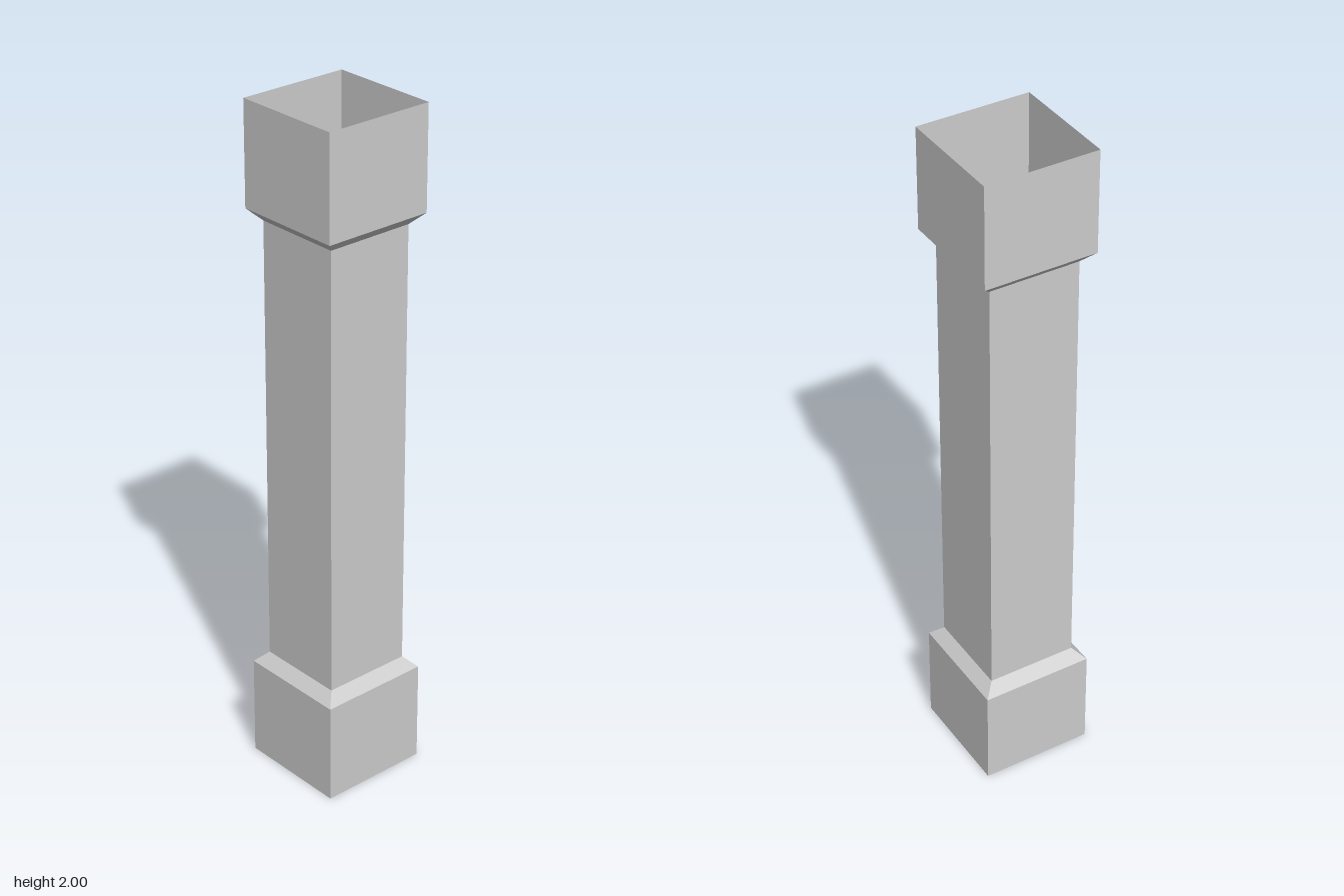
import * as THREE from 'three';

// Open square tube: each profile entry is [half width, height], from bottom to top
function squareTube(name, profile, material) {
  const points = profile.map(([half, y]) => new THREE.Vector2(half * Math.SQRT2, y));
  const mesh = new THREE.Mesh(new THREE.LatheGeometry(points, 4, Math.PI / 4), material);
  mesh.name = name;
  return mesh;
}

export function createModel() {
  const material = new THREE.MeshStandardMaterial({
    color: 0xcccccc, flatShading: true, side: THREE.DoubleSide,
  });
  const wide = 0.167, narrow = 0.134;
  const block = 0.302, bevel = 0.335, height = 2;

  const column = new THREE.Group();
  column.name = 'column';
  column.add(
    // Base block with its bevel
    squareTube('base', [[wide, 0], [wide, block], [narrow, bevel]], material),
    // Plain shaft
    squareTube('shaft', [[narrow, bevel], [narrow, height - bevel]], material),
    // Capital, the base turned upside down
    squareTube('capital', [[narrow, height - bevel], [wide, height - block], [wide, height]], material),
  );
  return column;
}
